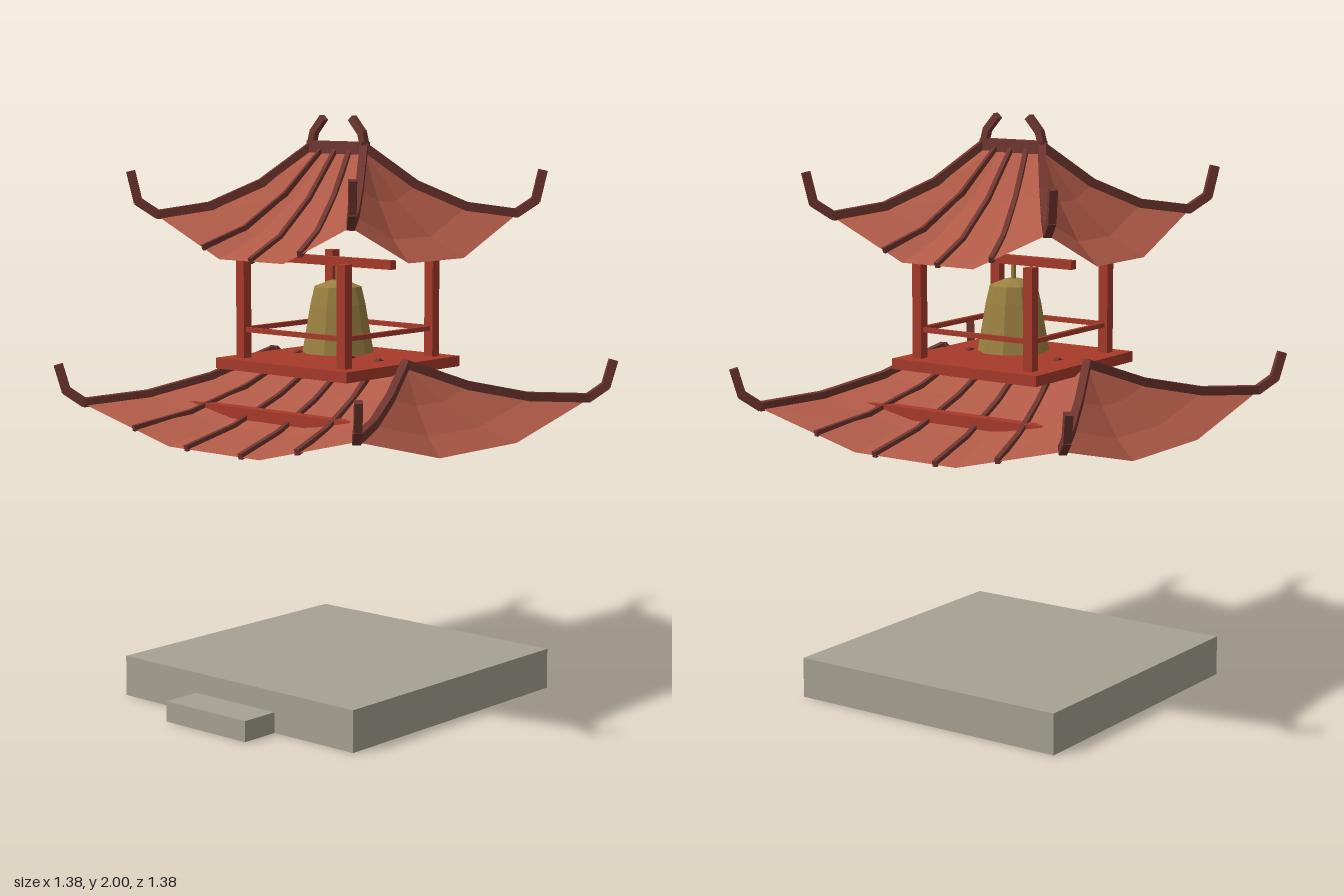
import * as THREE from 'three';

const mat = (name, color, side = THREE.FrontSide) => {
  const m = new THREE.MeshStandardMaterial({ color, side, flatShading: true });
  m.name = name;
  return m;
};

export function createModel() {
  const stone = mat('stone', 0xa5a192);
  const tile = mat('roofTile', 0xb05a47, THREE.DoubleSide);
  const trim = mat('darkTrim', 0x70362f);
  const red = mat('redWood', 0xa83a2a);
  const bronze = mat('bronze', 0x9a8141, THREE.DoubleSide);

  const model = new THREE.Group();
  model.name = 'bellPavilion';

  const add = (parent, name, geometry, material, x = 0, y = 0, z = 0) => {
    const mesh = new THREE.Mesh(geometry, material);
    mesh.name = name;
    mesh.position.set(x, y, z);
    parent.add(mesh);
    return mesh;
  };
  const box = (parent, name, material, w, h, d, x, y, z) =>
    add(parent, name, new THREE.BoxGeometry(w, h, d), material, x, y, z);

  // Square bars laid end to end along a list of points
  const bars = (parent, name, points, w, h) => {
    for (let i = 0; i + 1 < points.length; i++) {
      const [a, b] = [points[i], points[i + 1]];
      const mid = a.clone().add(b).multiplyScalar(0.5);
      const length = a.distanceTo(b) + 0.008;
      box(parent, name, trim, w, h, length, mid.x, mid.y, mid.z).lookAt(b);
    }
  };

  // Hipped roof: the hips swoop down in a curve and the eaves sag between corners
  function roof(name, { ridge, eave, top, drop, sag, ribs, tip }) {
    const group = new THREE.Group();
    group.name = name;
    model.add(group);
    const rows = [0, 1 / 3, 2 / 3, 1];
    const cols = [-1, -1 / 3, 1 / 3, 1];

    // side 0 front, 1 left, 2 back, 3 right; s runs along the eave, r down the slope
    const point = (side, s, r, lift = 0) => {
      const hx = ridge + (eave - ridge) * r, hz = eave * r;
      const hang = sag * r * Math.min(1, (1 - Math.abs(s)) * 1.5);
      const y = top - drop * (2 * r - r * r) - hang + lift;
      const [x, z] = [[s * hx, hz], [hx, -s * hz], [-s * hx, -hz], [-hx, s * hz]][side];
      return new THREE.Vector3(x, y, z);
    };

    const vertices = [];
    for (let side = 0; side < 4; side++)
      for (let i = 0; i < 3; i++)
        for (let j = 0; j < 3; j++) {
          const a = point(side, cols[i], rows[j]), b = point(side, cols[i + 1], rows[j]);
          const c = point(side, cols[i], rows[j + 1]), d = point(side, cols[i + 1], rows[j + 1]);
          vertices.push(c, d, b);
          if (j > 0 || side % 2 === 0) vertices.push(c, b, a);
        }
    const geometry = new THREE.BufferGeometry().setFromPoints(vertices);
    geometry.computeVertexNormals();
    add(group, 'roofTiles', geometry, tile);

    // Hip bars with upturned ends
    for (let side = 0; side < 4; side++) {
      const path = rows.map((r) => point(side, 1, r, 0.006));
      const sx = Math.sign(path[3].x), sz = Math.sign(path[3].z);
      for (const [out, y] of tip) path.push(new THREE.Vector3(sx * out, y, sz * out));
      bars(group, 'hipBar', path, 0.026, 0.03);
    }

    // Ribs down the front and back slopes
    for (const side of [0, 2])
      for (const s of ribs)
        bars(group, 'roofRib', rows.map((r) => point(side, s, r, 0.004)), 0.016, 0.02);
    return group;
  }

  // Stone base and step
  box(model, 'base', stone, 1.04, 0.14, 1.04, 0, 0.07, 0);
  box(model, 'step', stone, 0.36, 0.07, 0.14, 0, 0.035, 0.59);

  // Lower roof and the square frame under it
  roof('lowerRoof', {
    ridge: 0.3, eave: 0.612, top: 1.172, drop: 0.15, sag: 0.102,
    ribs: [-0.6, -0.2, 0.2, 0.6], tip: [[0.655, 1.07], [0.672, 1.155]],
  });
  for (const s of [-1, 1]) {
    box(model, 'frameBeam', red, 0.72, 0.04, 0.04, 0, 1.01, s * 0.34);
    box(model, 'frameBeam', red, 0.04, 0.04, 0.72, s * 0.34, 1.01, 0);
  }

  // Bell storey: floor, posts, rails and the hanging beam
  box(model, 'floor', red, 0.59, 0.036, 0.59, 0, 1.16, 0);
  for (const s of [-1, 1]) {
    for (const t of [-1, 1])
      box(model, 'post', red, 0.036, 0.345, 0.036, s * 0.227, 1.348, t * 0.227);
    box(model, 'rail', red, 0.44, 0.016, 0.016, 0, 1.275, s * 0.227);
    box(model, 'rail', red, 0.016, 0.016, 0.44, s * 0.227, 1.275, 0);
  }
  box(model, 'bellBeam', red, 0.49, 0.03, 0.03, 0, 1.505, 0);

  // Ten-sided bell on its hanger
  const profile = [[0.122, 1.195], [0.111, 1.26], [0.094, 1.36], [0.08, 1.42], [0.03, 1.44], [0, 1.442]];
  const bell = new THREE.LatheGeometry(profile.map(([x, y]) => new THREE.Vector2(x, y)), 10);
  add(model, 'bell', bell, bronze).rotation.y = Math.PI / 2;
  add(model, 'bellHanger', new THREE.CylinderGeometry(0.009, 0.009, 0.06, 8), bronze, 0, 1.465, 0);

  // Upper roof with ridge cap and curled ridge ends
  const upper = roof('upperRoof', {
    ridge: 0.115, eave: 0.43, top: 1.888, drop: 0.228, sag: 0.13,
    ribs: [-0.5, 0, 0.5], tip: [[0.477, 1.71], [0.493, 1.808]],
  });
  box(upper, 'ridgeCap', trim, 0.25, 0.042, 0.04, 0, 1.889, 0);
  for (const s of [-1, 1]) {
    const curl = [[0.118, 1.9], [0.107, 1.94], [0.066, 1.986]];
    bars(upper, 'ridgeEnd', curl.map(([x, y]) => new THREE.Vector3(s * x, y, 0)), 0.024, 0.024);
  }
  return model;
}
